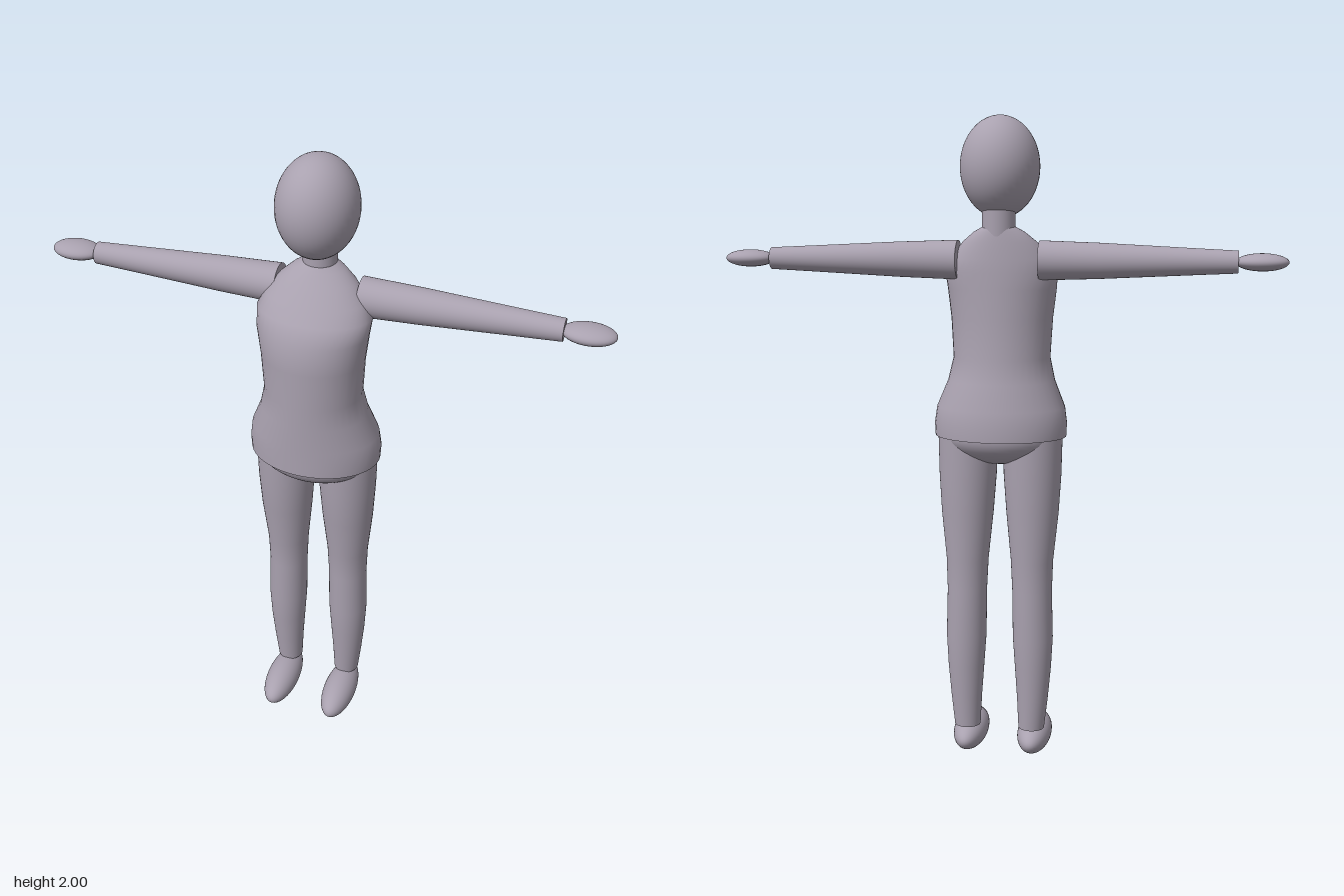
import * as THREE from 'three';

const SEG = 40;

// Surface through elliptical rings [y, centreX, centreZ, radiusX, radiusZ], listed bottom to top, with flat caps
function loft(rings) {
  const pos = [], idx = [];
  const addRing = ([y, cx, cz, rx, rz]) => {
    for (let j = 0; j < SEG; j++) {
      const t = (j / SEG) * Math.PI * 2;
      pos.push(cx + rx * Math.cos(t), y, cz + rz * Math.sin(t));
    }
  };
  rings.forEach(addRing);
  for (let i = 0; i < rings.length - 1; i++) {
    for (let j = 0; j < SEG; j++) {
      const k = (j + 1) % SEG;
      const a = i * SEG + j, b = i * SEG + k, c = a + SEG, d = b + SEG;
      idx.push(a, c, b, b, c, d);
    }
  }
  for (const [ring, top] of [[rings[0], false], [rings[rings.length - 1], true]]) {
    const start = pos.length / 3;
    addRing(ring);
    pos.push(ring[1], ring[0], ring[2]);
    for (let j = 0; j < SEG; j++) {
      const a = start + j, b = start + ((j + 1) % SEG), m = start + SEG;
      if (top) idx.push(m, b, a);
      else idx.push(m, a, b);
    }
  }
  const g = new THREE.BufferGeometry();
  g.setAttribute('position', new THREE.Float32BufferAttribute(pos, 3));
  g.setIndex(idx);
  g.computeVertexNormals();
  return g;
}

export function createModel() {
  const group = new THREE.Group();
  const clay = new THREE.MeshStandardMaterial({ color: 0xa9a1af });
  clay.name = 'greyMauve';

  const add = (name, geometry) => {
    const mesh = new THREE.Mesh(geometry, clay);
    mesh.name = name;
    group.add(mesh);
    return mesh;
  };
  const ellipsoid = (name, x, y, z, rx, ry, rz) => {
    const mesh = add(name, new THREE.SphereGeometry(1, 40, 28));
    mesh.position.set(x, y, z);
    mesh.scale.set(rx, ry, rz);
    return mesh;
  };

  // Head and neck
  ellipsoid('head', 0, 1.85, -0.022, 0.119, 0.15, 0.132);
  add('neck', new THREE.CylinderGeometry(0.05, 0.05, 0.12, SEG)).position.set(0, 1.7, -0.045);

  // Torso: height, half width, front z, back z
  const torso = [
    [1.04, 0.203, 0.145, -0.162],
    [1.08, 0.205, 0.145, -0.162],
    [1.13, 0.198, 0.145, -0.155],
    [1.21, 0.165, 0.146, -0.134],
    [1.28, 0.149, 0.147, -0.119],
    [1.4, 0.156, 0.148, -0.112],
    [1.49, 0.167, 0.148, -0.109],
    [1.54, 0.172, 0.112, -0.107],
    [1.58, 0.151, 0.082, -0.104],
    [1.63, 0.113, 0.042, -0.098],
    [1.66, 0.077, 0.017, -0.093],
    [1.675, 0.05, 0.005, -0.09],
  ];
  add('torso', loft(torso.map(([y, w, f, b]) => [y, 0, (f + b) / 2, w, (f - b) / 2])));

  // Pelvis below the hem
  ellipsoid('pelvis', 0, 1.045, -0.01, 0.188, 0.093, 0.14);

  for (const [side, s] of [['left', 1], ['right', -1]]) {
    // Leg: height, centre x, centre z, radius
    const leg = [
      [0.1, 0.103, -0.038, 0.041],
      [0.2, 0.106, -0.036, 0.049],
      [0.3, 0.107, -0.034, 0.057],
      [0.4, 0.106, -0.033, 0.063],
      [0.55, 0.103, -0.033, 0.062],
      [0.65, 0.102, -0.031, 0.066],
      [0.8, 0.102, -0.024, 0.081],
      [0.92, 0.101, -0.02, 0.089],
      [1.06, 0.1, -0.018, 0.093],
    ];
    add(side + 'Leg', loft(leg.map(([y, x, z, r]) => [y, s * x, z, r, r])));
    ellipsoid(side + 'Foot', s * 0.104, 0.053, 0.037, 0.054, 0.053, 0.133);

    // Arm: distance from the middle, radius
    const arm = [[0.123, 0.059], [0.3, 0.053], [0.44, 0.046], [0.58, 0.039], [0.705, 0.033]];
    const armMesh = add(side + 'Arm', loft(arm.map(([d, r]) => [d, 0, -0.047, r, r])));
    armMesh.rotation.z = (-s * Math.PI) / 2;
    armMesh.position.y = 1.577;
    ellipsoid(side + 'Hand', s * 0.773, 1.577, -0.048, 0.077, 0.026, 0.05);
  }
  return group;
}
